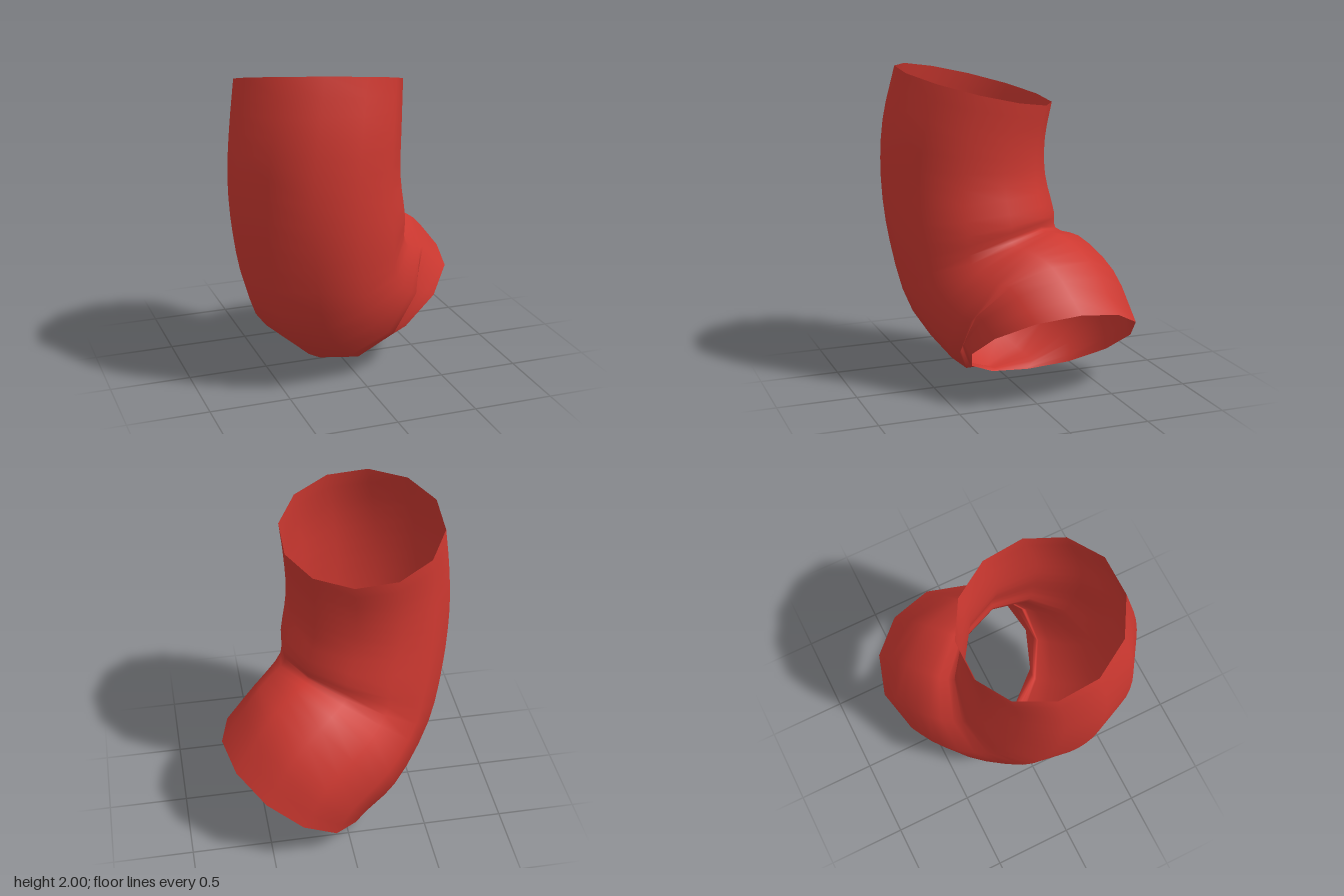
import * as THREE from 'three';

const SIDES = 12;
const STEPS = 3; // subdivisions between control rings

// Control rings along the elbow: centre, facing direction, radius, phase in degrees
const RINGS = [
  { c: [-0.19, 1.885, 0.155], n: [-0.08, -1, 0.23], r: 0.504, p: -9 },
  { c: [-0.228, 1.6, 0.207], n: [-0.04, -1, 0.12], r: 0.513, p: -8 },
  { c: [-0.242, 1.3, 0.212], n: [0.02, -1, -0.01], r: 0.52, p: -6 },
  { c: [-0.2, 0.97, 0.17], n: [0.18, -0.97, -0.13], r: 0.532, p: -4 },
  { c: [-0.145, 0.7, 0.11], n: [0.48, -0.8, -0.34], r: 0.53, p: -2 },
  { c: [0.06, 0.52, -0.075], n: [0.72, -0.5, -0.48], r: 0.55, p: 0 },
  { c: [0.19, 0.45, -0.15], n: [0.75, -0.6, -0.15], r: 0.54, p: 0 },
  { c: [0.316, 0.305, -0.18], n: [0.58, -0.815, 0], r: 0.533, p: 0 },
];

// Points of one ring, measured from the horizontal axis the tube bends about
function ringPoints({ c, n, r, p }) {
  const normal = new THREE.Vector3(...n).normalize();
  const e1 = new THREE.Vector3(0.57, 0, 0.82).projectOnPlane(normal).normalize();
  const e2 = new THREE.Vector3().crossVectors(normal, e1);
  return Array.from({ length: SIDES }, (_, j) => {
    const a = (j / SIDES) * Math.PI * 2 + THREE.MathUtils.degToRad(p);
    return new THREE.Vector3(...c)
      .addScaledVector(e1, r * Math.cos(a))
      .addScaledVector(e2, r * Math.sin(a));
  });
}

// Smooth open skin running through the control rings
function tubeGeometry() {
  const rings = RINGS.map(ringPoints);
  const rails = Array.from({ length: SIDES }, (_, j) =>
    new THREE.CatmullRomCurve3(rings.map((ring) => ring[j])));
  const rows = (RINGS.length - 1) * STEPS;
  const positions = [];
  const index = [];
  for (let i = 0; i <= rows; i++) {
    for (let j = 0; j < SIDES; j++) {
      const q = rails[j].getPoint(i / rows);
      positions.push(q.x, Math.max(0, q.y), q.z);
      if (i === rows) continue;
      const a = i * SIDES + j;
      const b = i * SIDES + ((j + 1) % SIDES);
      index.push(a, b, a + SIDES, b, b + SIDES, a + SIDES);
    }
  }
  const geometry = new THREE.BufferGeometry();
  geometry.setAttribute('position', new THREE.Float32BufferAttribute(positions, 3));
  geometry.setIndex(index);
  geometry.computeVertexNormals();
  return geometry;
}

export function createModel() {
  const group = new THREE.Group();
  group.name = 'bentTube';
  const red = new THREE.MeshStandardMaterial({ color: 0xcc3830, side: THREE.DoubleSide });
  red.name = 'red';

  // Elbow tube, open at both ends
  const tube = new THREE.Mesh(tubeGeometry(), red);
  tube.name = 'elbowTube';
  group.add(tube);
  return group;
}
